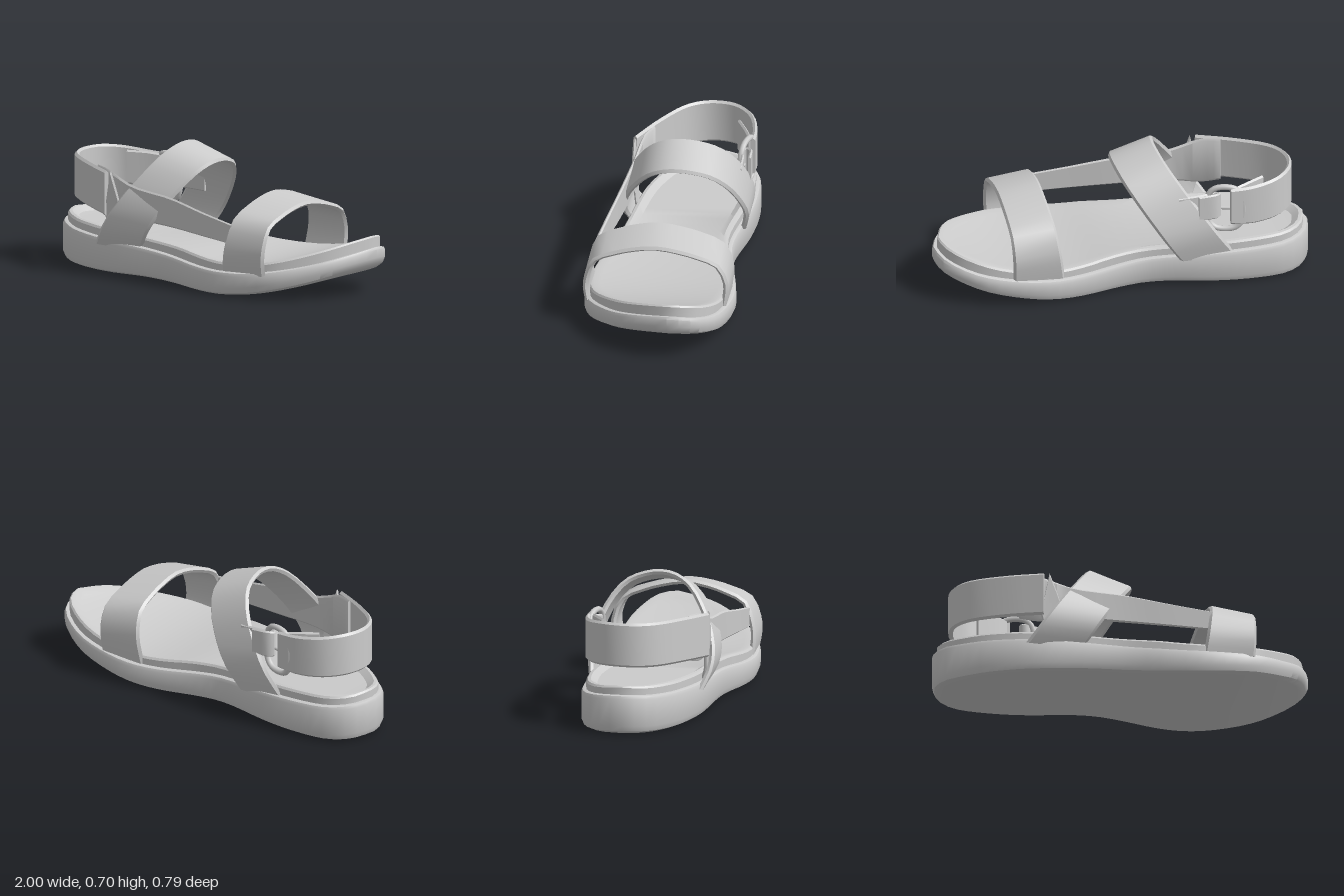
import * as THREE from 'three';
import { toCreasedNormals } from 'three/addons/utils/BufferGeometryUtils.js';

const V = (x, y, z) => new THREE.Vector3(x, y, z);
const lerp = THREE.MathUtils.lerp;
const material = new THREE.MeshStandardMaterial({ color: 0xcccccc });

// Skin a stack of equal rings (arrays of Vector3) and close both ends.
// Caps join point i with its partner across the ring.
function loft(rings, crease = 0.6) {
  const pos = [];
  const m = rings[0].length;
  const tri = (...p) => p.forEach((v) => pos.push(v.x, v.y, v.z));
  for (let k = 0; k < rings.length - 1; k++) {
    for (let i = 0; i < m; i++) {
      const j = (i + 1) % m;
      const a = rings[k][i], b = rings[k][j], c = rings[k + 1][j], d = rings[k + 1][i];
      tri(a, b, c);
      tri(a, c, d);
    }
  }
  const cap = (r, flip) => {
    for (let i = 0; i < m / 2; i++) {
      const a = r[i], b = r[i + 1], c = r[m - i - 1], d = r[(m - i) % m];
      if (b !== c) flip ? tri(a, c, b) : tri(a, b, c);
      if (a !== d) flip ? tri(a, d, c) : tri(a, c, d);
    }
  };
  cap(rings[0], true);
  cap(rings[rings.length - 1], false);
  const g = new THREE.BufferGeometry();
  g.setAttribute('position', new THREE.Float32BufferAttribute(pos, 3));
  return toCreasedNormals(g, crease);
}

// Flat band with softened edges between two edge curves.
function band(edgeA, edgeB, steps, half = 0.012) {
  const ca = new THREE.CatmullRomCurve3(edgeA, false, 'centripetal');
  const cb = new THREE.CatmullRomCurve3(edgeB, false, 'centripetal');
  const profile = [[0, 0], [0.05, 1], [0.95, 1], [1, 0], [0.95, -1], [0.05, -1]];
  const rings = [];
  for (let k = 0; k <= steps; k++) {
    const t = k / steps;
    const a = ca.getPoint(t), b = cb.getPoint(t);
    const w = b.clone().sub(a);
    const tangent = ca.getTangent(t).add(cb.getTangent(t));
    const n = w.clone().cross(tangent).normalize().multiplyScalar(half);
    rings.push(profile.map(([u, v]) => a.clone().addScaledVector(w, u).addScaledVector(n, v)));
  }
  return loft(rings);
}

// Upright band from [x, z, bottom, top] rows.
const sideBand = (rows, steps, half) => band(
  rows.map(([x, z, y0]) => V(x, y0, z)),
  rows.map(([x, z, , y1]) => V(x, y1, z)), steps, half);

// Arch over the foot: rows of [z, height 0..1]; back and front are [x0, x1, y0, y1].
const arch = (rows, back, front, steps) => {
  const edge = ([x0, x1, y0, y1]) => rows.map(([z, h]) => V(lerp(x0, x1, h), lerp(y0, y1, h), z));
  return band(edge(back), edge(front), steps, 0.014);
};

// Smooth height along the length of the shoe.
function heightCurve(points) {
  const c = new THREE.SplineCurve(points.map(([x, y]) => new THREE.Vector2(x, y)));
  const s = c.getPoints(120);
  return (x) => {
    let i = 1;
    while (i < s.length - 1 && s[i].x < x) i++;
    const t = THREE.MathUtils.clamp((x - s[i - 1].x) / (s[i].x - s[i - 1].x), 0, 1);
    return lerp(s[i - 1].y, s[i].y, t);
  };
}

// Foot outline: left side heel to toe, then right side back to the heel.
const N = 36;
function footOutline() {
  const side = (pts) => new THREE.SplineCurve(pts.map(([x, z]) => new THREE.Vector2(x, z))).getSpacedPoints(N);
  const near = side([[-1, -0.13], [-0.965, -0.02], [-0.85, 0.09], [-0.72, 0.165], [-0.5, 0.235], [-0.08, 0.295],
    [0.16, 0.36], [0.38, 0.394], [0.62, 0.36], [0.83, 0.215], [0.94, 0.07], [1, -0.11]]);
  const far = side([[-1, -0.13], [-0.975, -0.24], [-0.91, -0.32], [-0.8, -0.37], [-0.6, -0.385], [-0.4, -0.37],
    [-0.12, -0.325], [0.05, -0.335], [0.25, -0.375], [0.42, -0.398], [0.6, -0.385], [0.78, -0.35],
    [0.93, -0.27], [0.985, -0.19], [1, -0.11]]);
  return [...near, ...far.slice(1, -1).reverse()];
}

function insetRing(outline, d, y) {
  const m = outline.length;
  return outline.map((p, i) => {
    const t = outline[(i + 1) % m].clone().sub(outline[(i + m - 1) % m]).normalize();
    const x = p.x + t.y * d;
    return V(x, y(x), p.y - t.x * d);
  });
}

export function createModel() {
  const model = new THREE.Group();
  const add = (name, geometry, parent = model) => {
    const mesh = new THREE.Mesh(geometry, material);
    mesh.name = name;
    parent.add(mesh);
    return mesh;
  };

  const outline = footOutline();
  const bottom = heightCurve([[-1, 0.01], [-0.85, 0], [-0.5, 0.006], [-0.2, 0.014], [0.2, 0], [0.4, 0.008],
    [0.6, 0.035], [0.8, 0.085], [1, 0.16]]);
  const top = heightCurve([[-1, 0.218], [-0.85, 0.2], [-0.5, 0.187], [-0.15, 0.168], [0.2, 0.135], [0.4, 0.132],
    [0.6, 0.147], [0.8, 0.185], [0.93, 0.23], [1, 0.265]]);
  const bed = heightCurve([[-1, 0.28], [-0.9, 0.252], [-0.5, 0.238], [0, 0.208], [0.25, 0.182], [0.45, 0.18],
    [0.65, 0.207], [0.85, 0.265], [1, 0.33]]);

  // Sole with rounded edges
  add('sole', loft([
    [0.04, (x) => bottom(x)],
    [0.012, (x) => bottom(x) + 0.012],
    [0, (x) => bottom(x) + 0.04],
    [0, (x) => top(x) - 0.022],
    [0.007, (x) => top(x) - 0.006],
    [0.022, top],
  ].map(([d, y]) => insetRing(outline, d, y))));

  // Footbed with a soft rim and a slightly dished heel
  const dish = (x) => bed(x) - 0.006 - 0.016 * (1 - THREE.MathUtils.smoothstep(x, -0.5, 0.2));
  add('footbed', loft([
    [0.026, (x) => top(x) - 0.02],
    [0.026, (x) => bed(x) - 0.014],
    [0.034, (x) => bed(x) - 0.003],
    [0.05, bed],
    [0.085, dish],
  ].map(([d, y]) => insetRing(outline, d, y)), 0.5));

  // Toe strap
  add('toeStrap', arch([[0.355, -0.05], [0.368, 0.2], [0.36, 0.42], [0.318, 0.72], [0.22, 0.86], [0.12, 0.95], [0, 1],
    [-0.12, 0.95], [-0.22, 0.87], [-0.325, 0.73], [-0.37, 0.42], [-0.368, 0.2], [-0.355, -0.05]],
  [0.345, 0.4, 0.135, 0.5], [0.62, 0.63, 0.145, 0.46], 24));

  // Slanted instep strap
  add('instepStrap', arch([[0.222, -0.04], [0.262, 0.14], [0.268, 0.3], [0.245, 0.49], [0.2, 0.67], [0.125, 0.87],
    [0.045, 0.97], [-0.04, 1], [-0.13, 0.975], [-0.215, 0.905], [-0.295, 0.73], [-0.35, 0.48], [-0.372, 0.25],
    [-0.345, -0.04]],
  [-0.56, -0.2, 0.18, 0.695], [-0.26, 0.035, 0.17, 0.615], 28));

  // Side strap joining the instep and toe straps
  add('sideStrap', sideBand([[-0.6, 0.165, 0.32, 0.56], [-0.5, 0.205, 0.295, 0.55], [-0.33, 0.235, 0.31, 0.49],
    [-0.05, 0.268, 0.302, 0.458], [0.17, 0.305, 0.287, 0.415], [0.4, 0.34, 0.27, 0.375]], 16, 0.008));

  // Heel strap, from the left side round the heel to the buckle
  add('heelStrap', sideBand([[-0.485, 0.25, 0.315, 0.553], [-0.66, 0.155, 0.328, 0.565], [-0.83, 0.035, 0.338, 0.575],
    [-0.885, -0.05, 0.342, 0.578], [-0.898, -0.14, 0.345, 0.58], [-0.87, -0.24, 0.345, 0.58],
    [-0.79, -0.32, 0.34, 0.57], [-0.66, -0.358, 0.335, 0.555], [-0.54, -0.362, 0.345, 0.55]], 28));

  // Slanted end of the heel strap, running down to the sole
  add('heelStrapEnd', band(
    [V(-0.5, 0.32, 0.24), V(-0.475, 0.24, 0.235), V(-0.45, 0.18, 0.215)],
    [V(-0.455, 0.555, 0.25), V(-0.4, 0.4, 0.25), V(-0.36, 0.2, 0.225)], 6, 0.008));

  // Buckle side: folded flap, ring and tab
  add('foldedFlap', sideBand([[-0.56, -0.345, 0.36, 0.545], [-0.63, -0.315, 0.37, 0.555],
    [-0.73, -0.265, 0.38, 0.56]], 6, 0.009));

  const buckle = new THREE.Group();
  buckle.name = 'buckle';
  buckle.position.set(-0.515, 0.43, -0.335);
  buckle.rotation.y = -0.25;
  model.add(buckle);
  const ringPath = new THREE.CatmullRomCurve3(
    [[0.09, 0.07], [0.05, 0.115], [-0.05, 0.115], [-0.09, 0.07], [-0.09, -0.07], [-0.05, -0.115], [0.05, -0.115],
      [0.09, -0.07]].map(([x, y]) => V(x, y, 0)), true, 'centripetal');
  add('buckleRing', new THREE.TubeGeometry(ringPath, 40, 0.016, 8, true), buckle);
  const pin = add('bucklePin', new THREE.CylinderGeometry(0.009, 0.009, 0.18, 8), buckle);
  pin.rotation.z = Math.PI / 2;

  add('buckleTab', sideBand([[-0.27, -0.328, 0.38, 0.51], [-0.4, -0.325, 0.385, 0.515], [-0.465, -0.315, 0.385, 0.52],
    [-0.485, -0.335, 0.385, 0.525], [-0.46, -0.36, 0.385, 0.53], [-0.37, -0.365, 0.39, 0.525]], 16, 0.008));

  return model;
}
